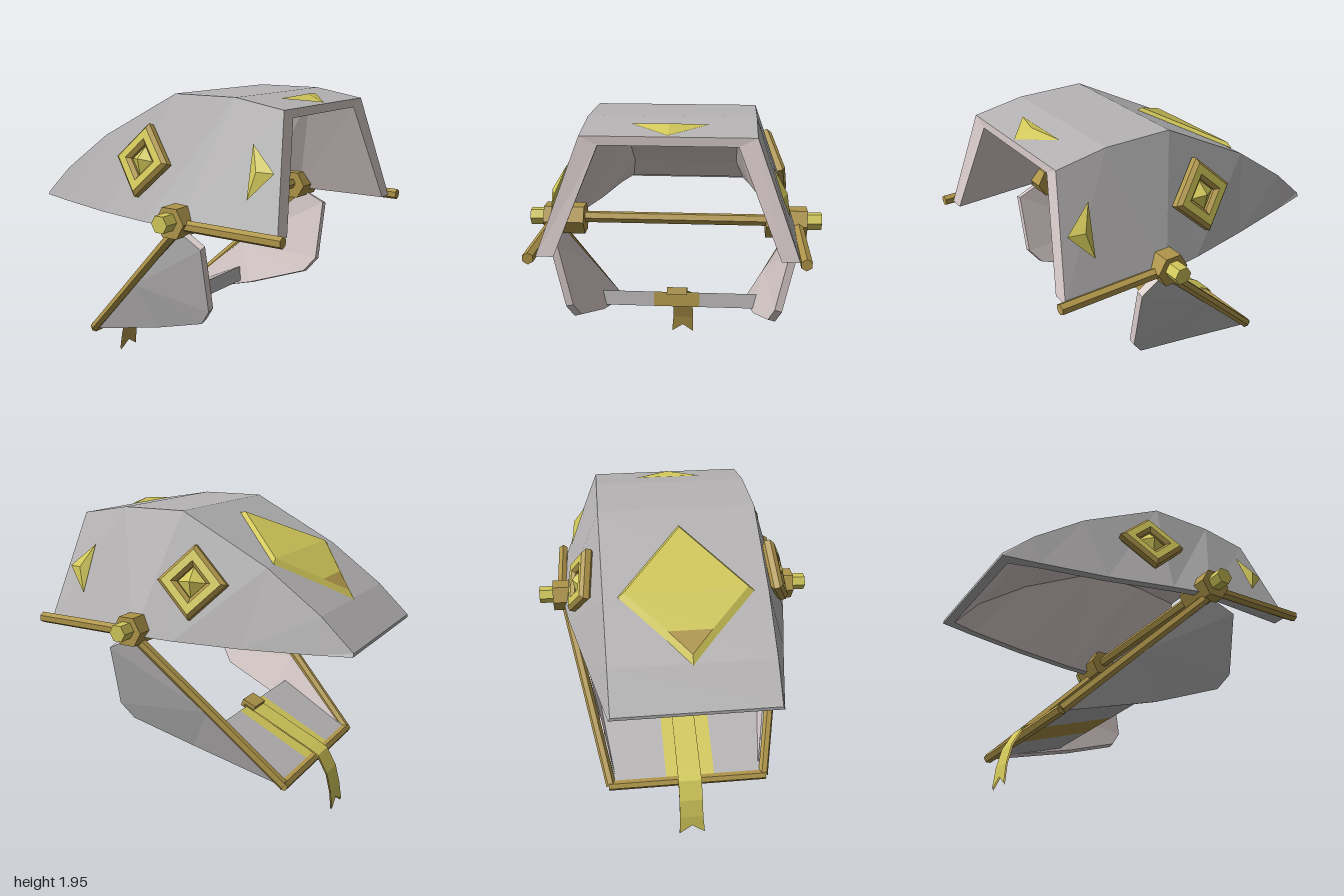
import * as THREE from 'three';

const mat = (name, color) => {
  const m = new THREE.MeshStandardMaterial({ color, flatShading: true, side: THREE.DoubleSide });
  m.name = name;
  return m;
};
const V = (x, y, z) => new THREE.Vector3(x, y, z);

// Flat-faced mesh from a list of convex polygons of [x, y, z] corners
function polyMesh(name, faces, material) {
  const pos = [];
  for (const f of faces)
    for (let i = 1; i < f.length - 1; i++) pos.push(...f[0], ...f[i], ...f[i + 1]);
  const g = new THREE.BufferGeometry();
  g.setAttribute('position', new THREE.Float32BufferAttribute(pos, 3));
  g.computeVertexNormals();
  const m = new THREE.Mesh(g, material);
  m.name = name;
  return m;
}

// Faceted bar between two points
function rod(name, a, b, r, material, sides = 6) {
  const d = b.clone().sub(a);
  const m = new THREE.Mesh(new THREE.CylinderGeometry(r, r, d.length(), sides), material);
  m.position.copy(a).add(b).multiplyScalar(0.5);
  m.quaternion.setFromUnitVectors(V(0, 1, 0), d.normalize());
  m.name = name;
  return m;
}

// Quads joining two rows of points, optionally closing the loop
function strip(a, b, closed = false) {
  const out = [];
  for (let i = 0; i < a.length - (closed ? 0 : 1); i++) {
    const j = (i + 1) % a.length;
    out.push([a[i], a[j], b[j], b[i]]);
  }
  return out;
}

export function createModel() {
  const grey = mat('grey plate', 0xb6b4b5);
  const pale = mat('pale lining', 0xd9cccb);
  const gold = mat('bright gold', 0xd2c85a);
  const bronze = mat('dark gold', 0xb0964a);
  const model = new THREE.Group();
  model.name = 'model';

  // Roof shell: [top z, top y, bottom z, bottom y, bottom half width]
  const stations = [
    [-1, 1.235, -1, 1.215, 0.49],
    [-0.8, 1.42, -0.78, 1.207, 0.535],
    [-0.46, 1.66, -0.37, 1.2, 0.62],
    [0.1, 1.945, 0.05, 1.21, 0.71],
    [0.52, 1.943, 0.3, 1.22, 0.75],
    [0.83, 1.89, 0.95, 1.24, 0.725],
  ];
  const section = (xt, yt, zt, xb, yb, zb) =>
    [[-xb, yb, zb], [-xt, yt, zt], [xt, yt, zt], [xb, yb, zb]];
  const outer = stations.map(([zt, yt, zb, yb, xb]) => section(0.48, yt, zt, xb, yb, zb));
  const inner = stations.map(([zt, yt, zb, yb, xb], i) => {
    const back = i === 0 ? 0.06 : 0;
    const side = i === 5 ? 0.1 : 0.055;
    return section(i ? 0.38 : 0.41, i ? yt - 0.05 : yt - 0.012, zt + back, xb - side, yb, zb + back);
  });
  const skin = [], lining = [], edge = [];
  for (let i = 0; i < 5; i++) {
    skin.push(...strip(outer[i], outer[i + 1]));
    lining.push(...strip(inner[i + 1], inner[i]));
    for (const k of [0, 3])
      edge.push([outer[i][k], outer[i + 1][k], inner[i + 1][k], inner[i][k]]);
  }
  edge.push([outer[0][0], outer[0][1], outer[0][2], outer[0][3]]);
  edge.push([outer[0][0], outer[0][3], inner[0][3], inner[0][0]]);
  model.add(polyMesh('roofShell', skin, grey), polyMesh('roofLining', lining, pale),
    polyMesh('roofLowerEdge', edge, grey),
    polyMesh('roofFrontRim', strip(outer[5], inner[5]), pale));

  // Height of the roof along its centre line
  const roofY = (z) => {
    let i = 0;
    while (i < 4 && z > stations[i + 1][0]) i++;
    const [z0, y0] = stations[i], [z1, y1] = stations[i + 1];
    return y0 + (y1 - y0) * (z - z0) / (z1 - z0);
  };

  // Large bent diamond on the rear slope
  const outline = [[0, -0.02], [0.395, -0.455], [0.14, -0.68], [0, -0.81], [-0.14, -0.68], [-0.395, -0.455]];
  const base = outline.map(([x, z]) => [x, roofY(z) + 0.004, z]);
  const top = outline.map(([x, z]) => {
    const zi = -0.43 + (z + 0.43) * 0.91;
    return [x * 0.91, roofY(zi) + 0.03, zi];
  });
  model.add(polyMesh('rearDiamond',
    [[top[0], top[1], top[5]], [top[1], top[2], top[4], top[5]], ...strip(base, top, true)], gold));
  model.add(polyMesh('rearDiamondTip', [[top[2], top[3], top[4]]], bronze));

  // Triangular stud: three corners and a raised peak
  const stud = (name, a, b, c, p) => polyMesh(name, [[a, b, p], [b, c, p], [c, a, p]], gold);
  model.add(stud('frontStud', [-0.215, roofY(0.65) + 0.004, 0.65], [0, roofY(0.82) + 0.004, 0.82],
    [0.215, roofY(0.65) + 0.004, 0.65], [0, roofY(0.71) + 0.03, 0.71]));

  // Parts repeated on both sides
  for (const s of [1, -1]) {
    const side = new THREE.Group();
    side.name = s > 0 ? 'leftSide' : 'rightSide';
    side.scale.x = s;

    // Small side stud
    const sx = (y) => 0.488 + (1.93 - y) * 0.37;
    side.add(stud('sideStud', [sx(1.71), 1.71, 0.695], [sx(1.57), 1.57, 0.86],
      [sx(1.42), 1.42, 0.725], [sx(1.57) + 0.03, 1.575, 0.765]));

    // Square badge: frame with a pyramid in it
    const badge = new THREE.Group();
    badge.name = 'sideBadge';
    const diamond = (r, C) => new C([[r, 0], [0, r], [-r, 0], [0, -r]].map(([x, y]) => new THREE.Vector2(x, y)));
    const shape = diamond(0.19, THREE.Shape);
    shape.holes.push(diamond(0.125, THREE.Path));
    const frame = new THREE.Mesh(new THREE.ExtrudeGeometry(shape,
      { depth: 0.035, bevelThickness: 0.02, bevelSize: 0.022, bevelSegments: 1 }), [gold, bronze]);
    frame.name = 'badgeFrame';
    const pyramid = new THREE.Mesh(new THREE.ConeGeometry(0.13, 0.07, 4), gold);
    pyramid.rotation.x = Math.PI / 2;
    pyramid.position.z = 0.035;
    pyramid.name = 'badgePyramid';
    badge.add(frame, pyramid);
    const n = V(0.945, 0.296, -0.14).normalize();
    const right = V(0, 1, 0).cross(n).normalize();
    badge.quaternion.setFromRotationMatrix(new THREE.Matrix4().makeBasis(right, n.clone().cross(right), n));
    badge.position.set(0.595, 1.55, -0.04);
    side.add(badge);

    // Pivot hub, peg and bars
    side.add(rod('hub', V(0.56, 1.26, 0.3), V(0.81, 1.26, 0.3), 0.1, bronze),
      rod('peg', V(0.8, 1.27, 0.3), V(0.9, 1.27, 0.3), 0.055, gold),
      rod('frontBar', V(0.755, 1.245, 0.3), V(0.755, 1.245, 1), 0.034, bronze),
      rod('slantedBar', V(0.73, 1.2, 0.29), V(0.5, 0.34, -0.6), 0.032, bronze));

    // Cheek plate, folded along lines that meet on the slanted bar
    const rim = [[0.74, 1.19, 0.33], [0.755, 1.12, 0.475], [0.675, 0.73, 0.475],
      [0.64, 0.63, 0.4], [0.56, 0.49, 0], [0.505, 0.33, -0.6]];
    const mid = [0.625, 0.765, -0.13];
    const inset = (p) => [p[0] - 0.045, p[1] + 0.012, p[2]];
    const rimIn = rim.map(inset), midIn = inset(mid);
    const out = [], inn = [];
    for (let i = 0; i < 5; i++) {
      out.push([mid, rim[i], rim[i + 1]]);
      inn.push([midIn, rimIn[i + 1], rimIn[i]]);
    }
    side.add(polyMesh('cheekPlate', out, grey), polyMesh('cheekLining', inn, pale),
      polyMesh('cheekRim', strip(rim, rimIn), pale));
    model.add(side);
  }

  // Cross bars
  model.add(rod('crossBar', V(-0.6, 1.27, 0.3), V(0.6, 1.27, 0.3), 0.036, bronze),
    rod('rearBar', V(-0.515, 0.34, -0.6), V(0.515, 0.34, -0.6), 0.032, bronze));

  // Wedge-shaped floor with a coloured centre band
  const floorRow = (x, k) => [[x, 0.335, -0.59], [x * k, 0.5, -0.08], [x * (k + 0.02), 0.6, -0.1], [x, 0.365, -0.59]];
  const floorPart = (name, x0, x1, k0, k1, topMat, bodyMat) => {
    const f = strip(floorRow(x0, k0), floorRow(x1, k1), true);
    model.add(polyMesh(name + 'Top', [f[2]], topMat), polyMesh(name + 'Body', [f[0], f[1], f[3]], bodyMat));
  };
  floorPart('floorRight', -0.5, -0.175, 1.07, 1, grey, grey);
  floorPart('floorBand', -0.175, 0.14, 1, 1, gold, bronze);
  floorPart('floorLeft', 0.14, 0.5, 1, 1.07, grey, grey);

  // Strap lying on the floor and hanging over the rear bar, with a notched end
  const path = [[0.615, -0.09], [0.4, -0.57], [0.365, -0.635], [0.25, -0.7], [0.13, -0.73]];
  const rows = path.map(([y, z], i) => [[-0.085 - i * 0.001, y, z], [0.065, y, z]]);
  const last = rows[4];
  const faces = [];
  for (let i = 0; i < 4; i++) faces.push([rows[i][0], rows[i + 1][0], rows[i + 1][1], rows[i][1]]);
  const notch = [-0.015, 0.06, -0.738];
  faces.push([last[0], [-0.1, 0, -0.745], notch], [last[0], notch, last[1]], [last[1], notch, [0.068, 0, -0.745]]);
  const shift = faces.map((f) => f.map(([x, y, z]) => [x, y - 0.006, z + 0.008]));
  model.add(polyMesh('strap', faces, gold), polyMesh('strapLining', shift, bronze));

  // Buckle at the front of the strap
  const buckle = new THREE.Mesh(new THREE.BoxGeometry(0.14, 0.05, 0.1), bronze);
  buckle.position.set(-0.015, 0.605, -0.11);
  buckle.rotation.x = -0.4;
  buckle.name = 'buckle';
  model.add(buckle);

  return model;
}
